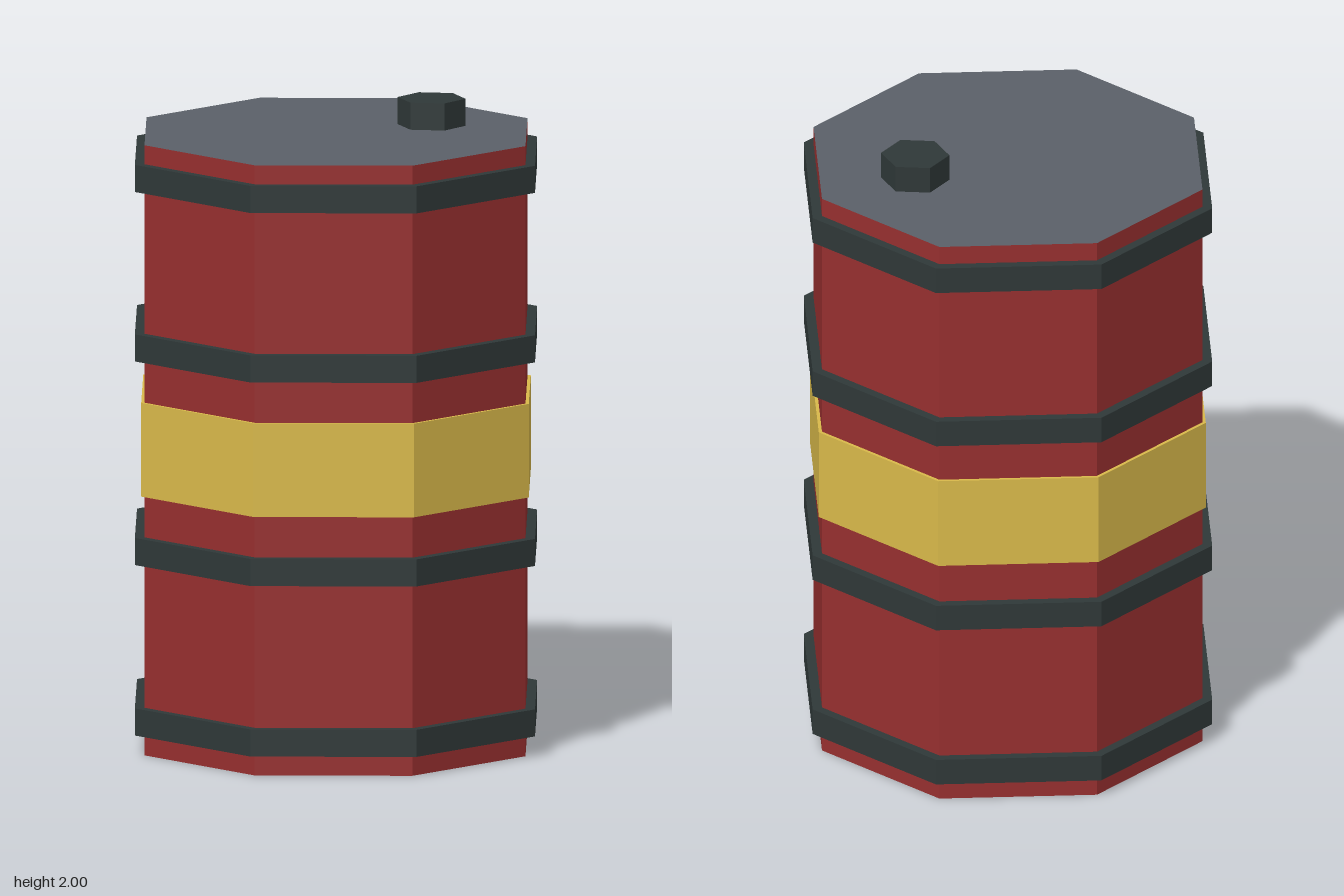
import * as THREE from 'three';

export function createModel() {
  const mat = (name, color) => {
    const m = new THREE.MeshStandardMaterial({ color, flatShading: true });
    m.name = name;
    return m;
  };
  const red = mat('red paint', 0x962f2f);
  const yellow = mat('yellow paint', 0xd9b94a);
  const dark = mat('dark metal', 0x2f3838);
  const grey = mat('grey lid', 0x5b6068);

  const group = new THREE.Group();
  group.name = 'barrel';

  // Upright prism between two heights, with a corner facing +z
  const prism = (name, radius, y0, y1, sides, material, x = 0) => {
    const mesh = new THREE.Mesh(new THREE.CylinderGeometry(radius, radius, y1 - y0, sides), material);
    mesh.name = name;
    mesh.position.set(x, (y0 + y1) / 2, 0);
    group.add(mesh);
  };

  // Drum with grey lid and base
  prism('body', 0.637, 0, 1.915, 8, [red, grey, grey]);

  // Painted band around the middle
  prism('stripe', 0.648, 0.813, 1.107, 8, yellow);

  // Four hoops
  [0.107, 0.642, 1.281, 1.813].forEach((y, i) => {
    prism('hoop' + (i + 1), 0.669, y - 0.0425, y + 0.0425, 8, dark);
  });

  // Hexagonal filler cap
  prism('fillerCap', 0.106, 1.915, 2, 6, dark, 0.318);

  return group;
}
